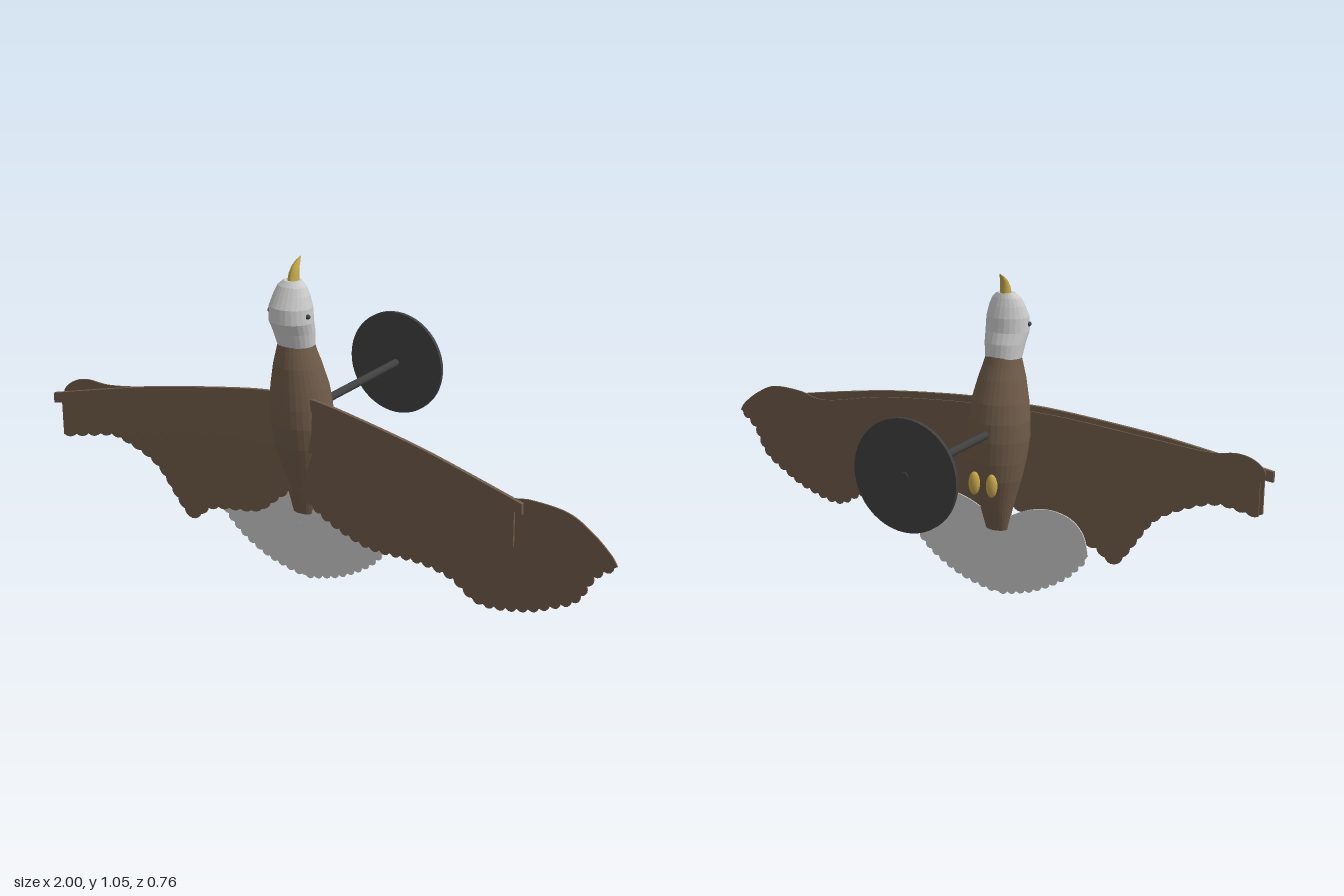
import * as THREE from 'three';

const CX = -0.155; // body axis
const mat = (color, extra = {}) => new THREE.MeshStandardMaterial({ color, ...extra });
const brown = mat(0x6f5b49, { flatShading: true });
const white = mat(0xd8d8d8, { flatShading: true });
const gold = mat(0xc4a64c);
const dark = mat(0x404040);

function add(group, name, geometry, material, x = 0, y = 0, z = 0) {
  const mesh = new THREE.Mesh(geometry, material);
  mesh.name = name;
  mesh.position.set(x, y, z);
  group.add(mesh);
  return mesh;
}

// Upright loft through elliptical rings, listed top to bottom: [y, zCentre, radiusX, radiusZ]
function loft(rings, sides) {
  const n = rings.length - 1;
  const g = new THREE.CylinderGeometry(1, 1, 1, sides, n);
  const p = g.attributes.position;
  for (let i = 0; i < p.count; i++) {
    const [y, zc, rx, rz] = rings[Math.round((0.5 - p.getY(i)) * n)];
    p.setXYZ(i, CX + p.getX(i) * rx, y, zc + p.getZ(i) * rz);
  }
  g.computeVertexNormals();
  return g;
}

// Flat panel: smooth upper edge (root to tip), then scalloped lower edge (tip to root).
// Points are [distance from body axis, y]; side mirrors; z leans forward by slope.
function panel(side, upper, lower, feathers, bulge, z, slope, depth) {
  const pts = (list) => list.map(([d, y]) => new THREE.Vector2(side * d, y));
  const top = new THREE.SplineCurve(pts(upper)).getPoints(upper.length * 5);
  const low = new THREE.SplineCurve(pts(lower)).getSpacedPoints(feathers);
  const shape = new THREE.Shape(top);
  shape.lineTo(low[0].x, low[0].y);
  for (let i = 1; i < low.length; i++) {
    const a = low[i - 1], b = low[i];
    const len = a.distanceTo(b);
    const k = (side * bulge) / len;
    shape.quadraticCurveTo(
      (a.x + b.x) / 2 + (b.y - a.y) * -k, (a.y + b.y) / 2 + (b.x - a.x) * k, b.x, b.y);
  }
  const g = new THREE.ExtrudeGeometry(shape, { depth, bevelEnabled: false, curveSegments: 4 });
  const p = g.attributes.position;
  for (let i = 0; i < p.count; i++) {
    p.setXYZ(i, CX + p.getX(i), p.getY(i), z + p.getZ(i) + slope * Math.abs(p.getX(i)));
  }
  g.computeVertexNormals();
  return g;
}

export function createModel() {
  const model = new THREE.Group();
  model.name = 'birdOrnament';

  // Body, head and beak
  add(model, 'body', loft([
    [0.79, 0.211, 0.056, 0.053], [0.76, 0.209, 0.064, 0.061], [0.72, 0.204, 0.076, 0.072],
    [0.65, 0.194, 0.092, 0.085], [0.59, 0.189, 0.1, 0.091], [0.53, 0.186, 0.101, 0.091],
    [0.46, 0.181, 0.093, 0.083], [0.4, 0.177, 0.082, 0.071], [0.35, 0.177, 0.068, 0.058],
    [0.29, 0.178, 0.052, 0.044], [0.225, 0.181, 0.037, 0.025]], 32), brown);
  add(model, 'head', loft([
    [0.985, 0.223, 0.03, 0.024], [0.97, 0.227, 0.047, 0.034], [0.945, 0.23, 0.059, 0.045],
    [0.91, 0.235, 0.069, 0.059], [0.865, 0.235, 0.071, 0.062], [0.83, 0.221, 0.066, 0.06],
    [0.785, 0.211, 0.06, 0.053]], 24), white);
  add(model, 'beak', loft([
    [1.05, 0.18, 0.001, 0.001], [1.04, 0.193, 0.007, 0.007], [1.025, 0.207, 0.012, 0.012],
    [1.005, 0.216, 0.016, 0.017], [0.975, 0.222, 0.018, 0.021]], 16), gold);

  // Eyes and feet
  for (const s of [-1, 1]) {
    add(model, 'eye', new THREE.SphereGeometry(0.008, 12, 8), dark, CX + s * 0.068, 0.888, 0.247);
    const foot = add(model, 'foot', new THREE.SphereGeometry(1, 16, 12), gold, CX + s * 0.031, 0.397, 0.087);
    foot.scale.set(0.019, 0.038, 0.015);
    const ankle = add(model, 'ankle', new THREE.CylinderGeometry(0.006, 0.006, 0.03, 8), gold, CX + s * 0.031, 0.4, 0.105);
    ankle.rotation.x = Math.PI / 2;
  }

  // Wall rod and round plate
  const rod = add(model, 'rod', new THREE.CylinderGeometry(0.013, 0.013, 0.49, 16), dark, CX, 0.555, -0.135);
  const plate = add(model, 'plate', new THREE.CylinderGeometry(0.173, 0.173, 0.013, 48), dark, CX, 0.555, -0.37);
  rod.rotation.x = plate.rotation.x = Math.PI / 2;

  // Flight feathers: one wing spread wide, the other cut short
  const inner = [[0.6, 0.2], [0.48, 0.215], [0.375, 0.208], [0.28, 0.205], [0.16, 0.235], [0.08, 0.27], [0, 0.325]];
  add(model, 'leftFlightFeathers', panel(1,
    [[0, 0.615], [0.2, 0.6], [0.5, 0.56], [0.75, 0.505], [0.87, 0.517], [0.99, 0.513], [1.07, 0.476], [1.13, 0.43], [1.153, 0.4]],
    [[1.143, 0.395], [1.08, 0.35], [1.03, 0.265], [0.95, 0.22], [0.86, 0.18], [0.7, 0.15], ...inner],
    32, 0.022, 0.22, 0.133, 0.005), brown);
  add(model, 'rightFlightFeathers', panel(-1,
    [[0, 0.615], [0.2, 0.605], [0.5, 0.57], [0.66, 0.553], [0.745, 0.56], [0.8, 0.545], [0.835, 0.51], [0.82, 0.48]],
    [[0.82, 0.37], [0.755, 0.385], [0.695, 0.395], [0.615, 0.375], [0.5, 0.315], [0.425, 0.21], [0.37, 0.145],
      [0.31, 0.195], [0.2, 0.21], [0.13, 0.22], [0.075, 0.265], [0, 0.325]],
    25, 0.014, 0.22, 0.12, 0.005), brown);

  // Covert layer and thicker leading edge on each wing
  const edge = [[0, 0.63], [0.15, 0.625], [0.45, 0.587], [0.65, 0.55], [0.85, 0.508]];
  for (const s of [-1, 1]) {
    const side = s > 0 ? 'left' : 'right';
    add(model, side + 'Coverts', panel(s,
      [...edge.slice(0, 4).map(([d, y]) => [d, y - 0.008]), [0.823, 0.505]],
      [[0.823, 0.37], [0.6, 0.41], [0.45, 0.437], [0.32, 0.458], [0.15, 0.462], [0, 0.465]],
      18, 0.02, 0.228, 0.143, 0.007), brown);
    add(model, side + 'LeadingEdge', panel(s, edge,
      [[0.85, 0.475], [0.65, 0.513], [0.45, 0.548], [0.15, 0.587], [0, 0.592]],
      14, 0.002, 0.226, 0.143, 0.012), brown);
  }

  // Tail: two overlapping scalloped fans
  for (const s of [-1, 1]) {
    add(model, s > 0 ? 'leftTailFan' : 'rightTailFan', panel(s,
      [[0, 0.24], [0.05, 0.275], [0.12, 0.307], [0.19, 0.317], [0.26, 0.3], [0.305, 0.255], [0.322, 0.19]],
      [[0.312, 0.175], [0.245, 0.105], [0.145, 0.046], [0.06, 0.02], [0, 0.011], [-0.02, 0.06], [-0.025, 0.12], [0, 0.22]],
      18, 0.02, s > 0 ? 0.187 : 0.182, 0, 0.004), white);
  }
  return model;
}
